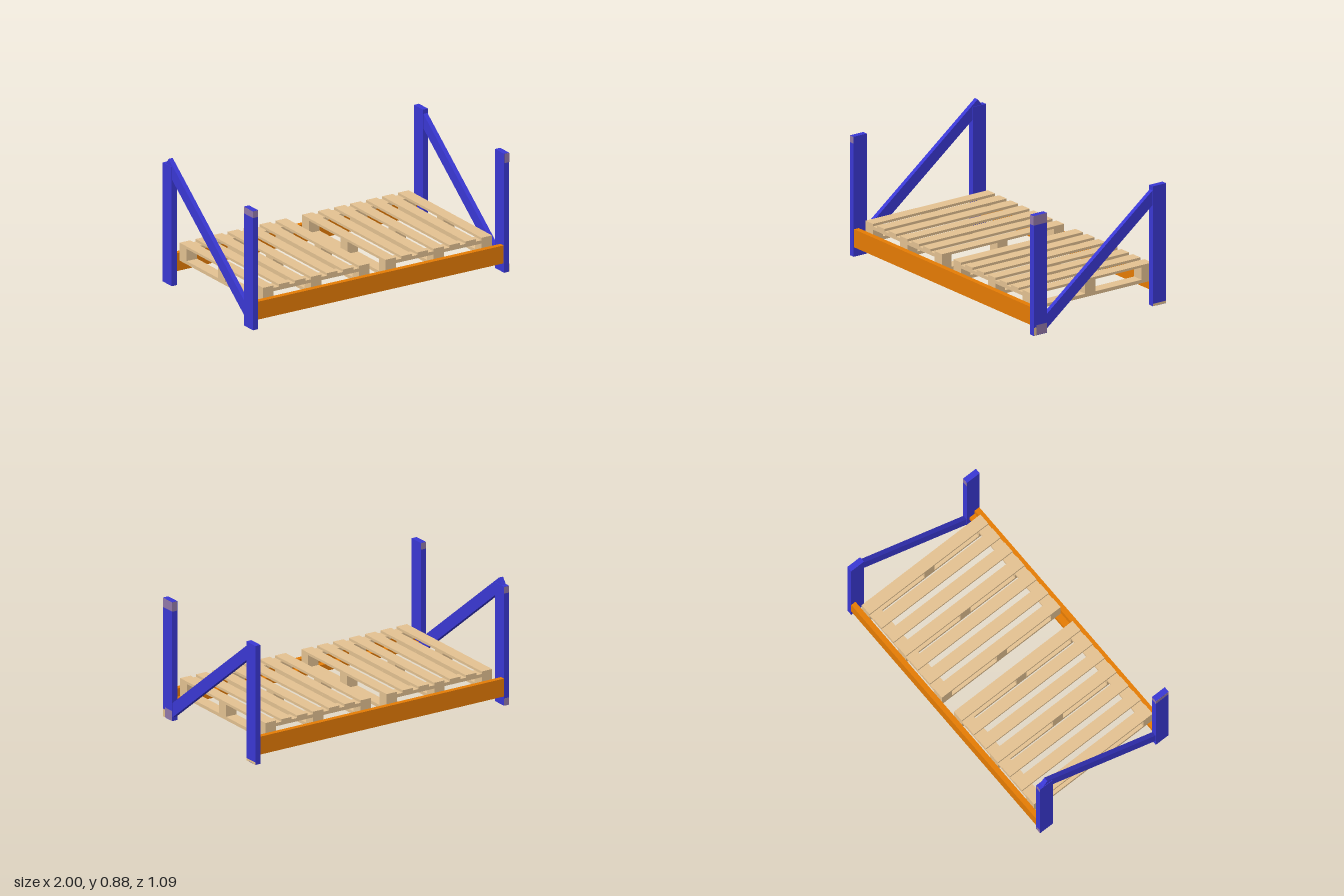
import * as THREE from 'three';

const material = (name, color) => {
  const m = new THREE.MeshStandardMaterial({ color });
  m.name = name;
  return m;
};

export function createModel() {
  const blue = material('uprightBlue', 0x3a38d4);
  const orange = material('beamOrange', 0xe67c04);
  const wood = material('palletWood', 0xe4c292);
  const mauve = material('endCapMauve', 0x9278aa);

  const model = new THREE.Group();
  model.name = 'palletRackBay';

  // Box given by its lower and upper limits on each axis
  function box(parent, name, mat, x0, x1, y0, y1, z0, z1) {
    const mesh = new THREE.Mesh(new THREE.BoxGeometry(x1 - x0, y1 - y0, z1 - z0), mat);
    mesh.position.set((x0 + x1) / 2, (y0 + y1) / 2, (z0 + z1) / 2);
    mesh.name = name;
    parent.add(mesh);
    return mesh;
  }

  // End frames: two posts and a diagonal brace
  const slope = Math.atan(0.777);
  for (const side of [-1, 1]) {
    const frame = new THREE.Group();
    frame.name = side < 0 ? 'rightEndFrame' : 'leftEndFrame';
    model.add(frame);
    const cx = side * 0.98;
    box(frame, 'frontPost', blue, cx - 0.02, cx + 0.02, 0, 0.832, 0.434, 0.542);
    box(frame, 'backPost', blue, cx - 0.02, cx + 0.02, 0, 0.832, -0.542, -0.434);

    // Brace rises from the front foot to the back top
    const length = side < 0 ? 1.215 : 1.165;
    const midZ = side < 0 ? -0.022 : 0;
    const midY = side < 0 ? 0.472 : 0.4145;
    const brace = box(frame, 'brace', blue, -0.016, 0.016, -0.04, 0.04, -length / 2, length / 2);
    brace.position.set(side * 0.98, midY, midZ);
    brace.rotation.x = slope;

    // Painted band on the outer, front and back faces of the front post top
    const low = side < 0 ? 0.785 : 0.766;
    const band = box(frame, 'postBand', mauve, -0.0195, 0.0195, low, 0.831, 0.4335, 0.5425);
    band.position.x = side * 0.981;
  }

  // Painted foot and head patches
  box(model, 'footPatch', mauve, 0.999, 1.0005, 0.001, 0.07, 0.435, 0.521);
  box(model, 'footPatch', wood, 0.999, 1.0005, 0.001, 0.055, 0.521, 0.542);
  box(model, 'footPatch', wood, 0.999, 1.0005, 0.001, 0.017, -0.542, -0.435);
  box(model, 'headPatch', mauve, -0.999, -0.961, 0.785, 0.831, -0.5425, -0.541);
  box(model, 'footPatch', mauve, -0.999, -0.961, 0.001, 0.05, -0.5425, -0.541);

  // Front beam with a raised inner ledge, and plain back beam
  const step = new THREE.Shape();
  [[0.538, 0.065], [0.538, 0.19], [0.5, 0.19], [0.5, 0.134], [0.455, 0.134], [0.455, 0.095],
    [0.5, 0.095], [0.5, 0.065]]
    .forEach(([z, y], i) => (i ? step.lineTo(-z, y) : step.moveTo(-z, y)));
  const beamGeometry = new THREE.ExtrudeGeometry(step, { depth: 1.93, bevelEnabled: false });
  beamGeometry.rotateY(Math.PI / 2).translate(-0.965, 0, 0);
  const frontBeam = new THREE.Mesh(beamGeometry, orange);
  frontBeam.name = 'frontBeam';
  model.add(frontBeam);
  box(model, 'backBeam', orange, -0.965, 0.965, 0.065, 0.19, -0.5415, -0.506);

  // Two pallets side by side
  for (const side of [-1, 1]) {
    const pallet = new THREE.Group();
    pallet.name = side < 0 ? 'rightPallet' : 'leftPallet';
    pallet.position.x = side * 0.478 + 0.002;
    model.add(pallet);
    // Deck slats
    for (let i = -3; i <= 3; i++) {
      const x = i * 0.125;
      box(pallet, 'deckSlat', wood, x - 0.041, x + 0.041, 0.243, 0.26, -0.505, 0.496);
    }
    // Cross boards under the deck ends
    const rows = [[-0.505, -0.42], [-0.042, 0.042], [0.416, 0.496]];
    for (const [z0, z1] of [rows[0], rows[2]]) {
      box(pallet, 'crossBoard', wood, -0.416, 0.416, 0.22, 0.243, z0, z1);
    }
    // Runners and spacer blocks
    for (const x of [-0.375, 0, 0.375]) {
      box(pallet, 'runner', wood, x - 0.041, x + 0.041, 0.135, 0.158, -0.505, 0.496);
      rows.forEach(([z0, z1], i) => {
        box(pallet, 'spacerBlock', wood, x - 0.041, x + 0.041, 0.158, i === 1 ? 0.243 : 0.22, z0, z1);
      });
    }
  }
  return model;
}
